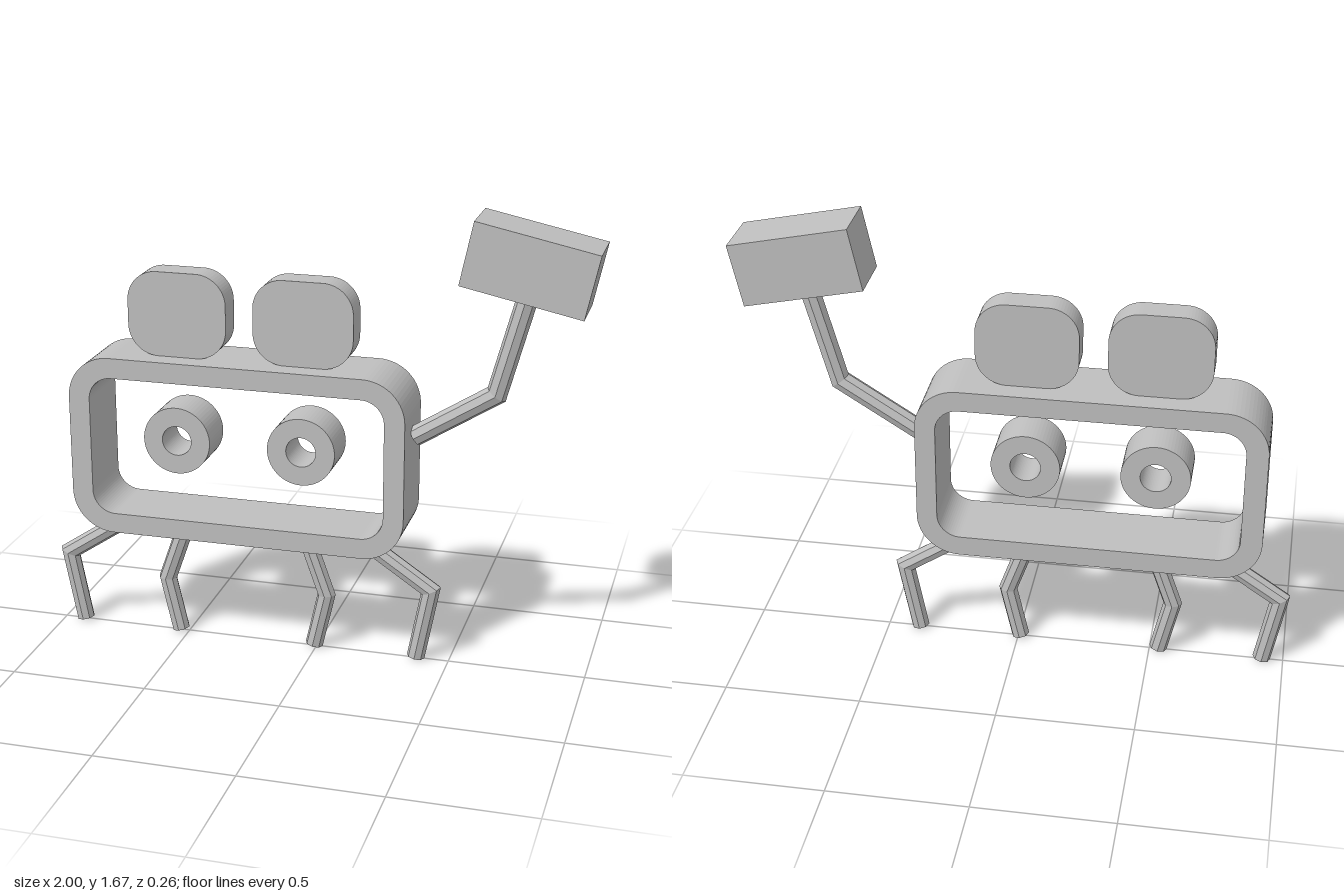
import * as THREE from 'three';

const grey = new THREE.MeshStandardMaterial({ color: 0xbfbfbf });
grey.name = 'plain grey';

const MID = -0.271; // symmetry line of the body

// Rounded rectangle outline
function roundRect(target, x0, y0, x1, y1, r) {
  target.moveTo(x0 + r, y0);
  target.lineTo(x1 - r, y0);
  target.absarc(x1 - r, y0 + r, r, -Math.PI / 2, 0, false);
  target.lineTo(x1, y1 - r);
  target.absarc(x1 - r, y1 - r, r, 0, Math.PI / 2, false);
  target.lineTo(x0 + r, y1);
  target.absarc(x0 + r, y1 - r, r, Math.PI / 2, Math.PI, false);
  target.lineTo(x0, y0 + r);
  target.absarc(x0 + r, y0 + r, r, Math.PI, Math.PI * 1.5, false);
  return target;
}

// Plate centred on z = 0
function slab(name, shape, depth, curveSegments) {
  const geo = new THREE.ExtrudeGeometry(shape, { depth, bevelEnabled: false, curveSegments });
  geo.translate(0, 0, -depth / 2);
  const mesh = new THREE.Mesh(geo, grey);
  mesh.name = name;
  return mesh;
}

// Open-ended faceted pipe with mitred joints along points in the XY plane
function pipe(name, points, radius, sides = 8) {
  const pts = points.map(([x, y]) => new THREE.Vector2(x, y));
  const dir = pts.slice(1).map((p, i) => p.clone().sub(pts[i]).normalize());
  const rings = pts.map((p, i) => {
    const a = dir[Math.max(i - 1, 0)], b = dir[Math.min(i, dir.length - 1)];
    const t = a.clone().add(b).normalize();
    const stretch = radius / t.dot(a);
    return Array.from({ length: sides }, (_, k) => {
      const ang = (k / sides) * Math.PI * 2;
      const s = Math.cos(ang) * stretch;
      return [p.x - t.y * s, p.y + t.x * s, Math.sin(ang) * radius];
    });
  });
  const pos = [];
  for (let i = 0; i + 1 < rings.length; i++) {
    for (let k = 0; k < sides; k++) {
      const n = (k + 1) % sides;
      const [a, b, c, d] = [rings[i][k], rings[i][n], rings[i + 1][n], rings[i + 1][k]];
      pos.push(...a, ...b, ...c, ...a, ...c, ...d);
    }
  }
  const geo = new THREE.BufferGeometry();
  geo.setAttribute('position', new THREE.Float32BufferAttribute(pos, 3));
  geo.computeVertexNormals();
  const mesh = new THREE.Mesh(geo, grey);
  mesh.name = name;
  return mesh;
}

export function createModel() {
  const model = new THREE.Group();
  model.name = 'walkingFrame';

  // Hollow body
  const body = roundRect(new THREE.Shape(), -0.895, 0.427, 0.351, 1.098, 0.155);
  body.holes.push(roundRect(new THREE.Path(), -0.817, 0.502, 0.277, 1.023, 0.085));
  model.add(slab('bodyFrame', body, 0.26, 8));

  for (const side of [-1, 1]) {
    const label = side < 0 ? 'right' : 'left';

    // Ring eyes
    const eye = new THREE.Shape().absarc(MID + side * 0.233, 0.79, 0.125, 0, Math.PI * 2, false);
    eye.holes.push(new THREE.Path().absarc(MID + side * 0.233, 0.79, 0.055, 0, Math.PI * 2, true));
    model.add(slab(label + 'Eye', eye, 0.16, 32));

    // Rounded pads on top
    const cx = MID + side * 0.233;
    const pad = roundRect(new THREE.Shape(), cx - 0.183, 1.098, cx + 0.183, 1.409, 0.11);
    model.add(slab(label + 'TopPad', pad, 0.1, 8));

    // Bent legs
    const leg = (points) => points.map(([x, y]) => [MID + side * x, y]);
    model.add(pipe(label + 'OuterLeg', leg([[0.486, 0.418], [0.7, 0.275], [0.649, 0.006]]), 0.033));
    model.add(pipe(label + 'InnerLeg', leg([[0.235, 0.424], [0.309, 0.214], [0.262, 0.008]]), 0.033));
  }

  // Raised arm and the block it holds
  model.add(pipe('arm', [[0.36, 0.863], [0.646, 1.043], [0.745, 1.41]], 0.037));
  const block = new THREE.Mesh(new THREE.BoxGeometry(0.437, 0.23, 0.208), grey);
  block.name = 'heldBlock';
  block.position.set(0.758, 1.515, 0);
  block.rotation.z = -0.209;
  model.add(block);

  return model;
}
